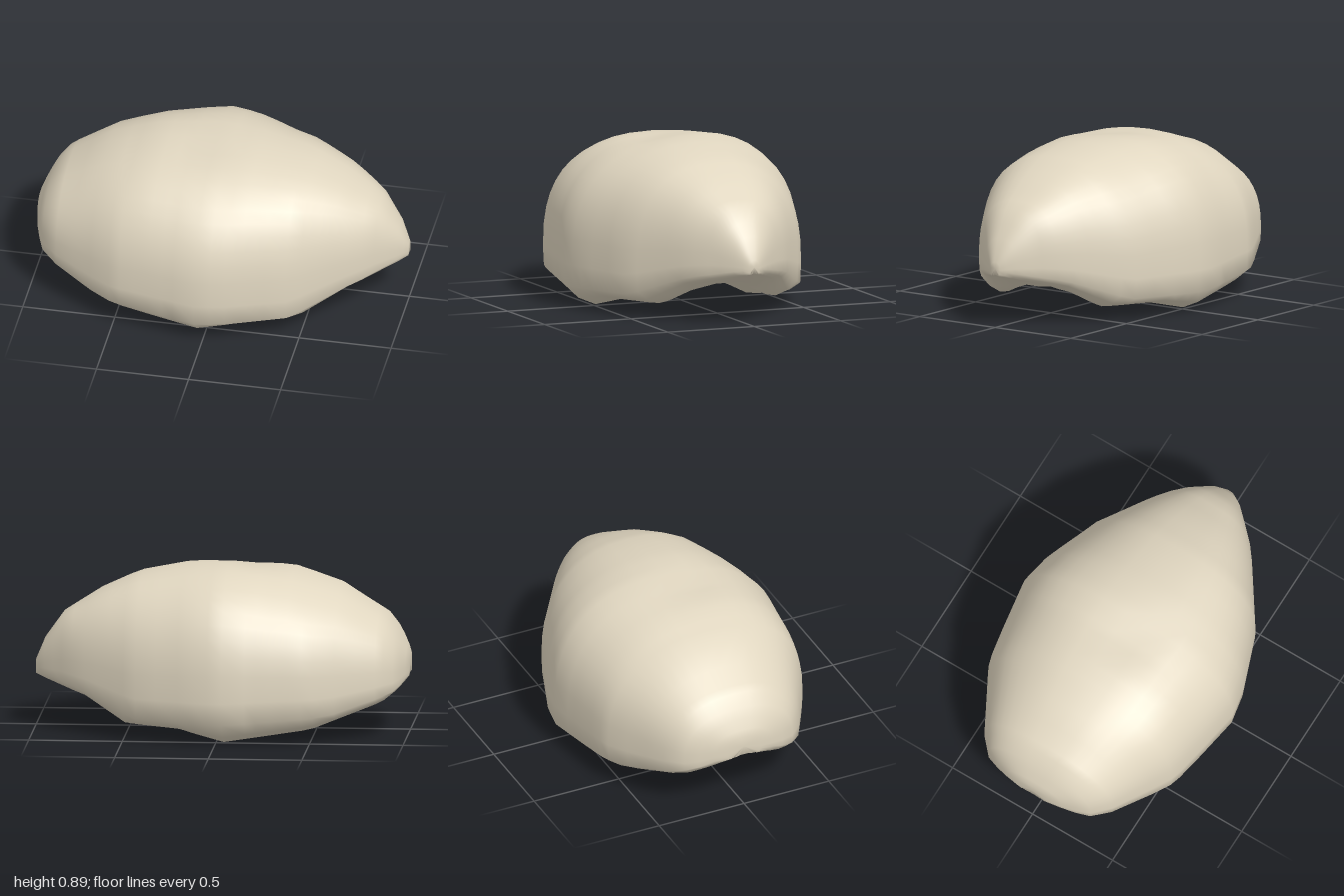
import * as THREE from 'three';
import { mergeVertices } from 'three/addons/utils/BufferGeometryUtils.js';

// Profiles along the length: [x, value]
const HALF_WIDTH = [[-1, 0.1], [-0.98, 0.2], [-0.93, 0.32], [-0.84, 0.4], [-0.5, 0.585], [-0.3, 0.62], [-0.04, 0.66],
  [0.12, 0.63], [0.43, 0.515], [0.77, 0.28], [0.95, 0.1], [1, 0.03]];
const CROWN = [[-1, 0.43], [-0.97, 0.5], [-0.9, 0.62], [-0.63, 0.79], [-0.38, 0.865], [-0.02, 0.905], [0.2, 0.885],
  [0.45, 0.835], [0.65, 0.745], [0.85, 0.62], [0.95, 0.48], [1, 0.36]];
const RIM = [[-1, 0.33], [-0.95, 0.27], [-0.87, 0.24], [-0.6, 0.16], [0, 0.12], [0.45, 0.13], [0.6, 0.19], [0.75, 0.25], [1, 0.31]];
const BASE = [[-1, 0.31], [-0.95, 0.26], [-0.87, 0.2], [-0.5, 0.07], [-0.04, 0.005], [0.2, 0.065], [0.5, 0.08], [0.72, 0.205], [1, 0.285]];
const BELLY = [[-1, 0.32], [-0.9, 0.26], [-0.52, 0.18], [0, 0.13], [0.65, 0.19], [0.9, 0.26], [1, 0.29]];
// Toothed edges of the slot on the two sides
const SLOT_LEFT = [[-0.52, 0], [-0.46, 0.06], [-0.22, 0.11], [-0.16, 0.05], [0.12, 0.11], [0.2, 0.05], [0.5, 0.09], [0.65, 0]];
const SLOT_RIGHT = [[-0.52, 0], [-0.46, 0.09], [-0.22, 0.05], [-0.16, 0.1], [0.12, 0.05], [0.2, 0.1], [0.5, 0.05], [0.65, 0]];

function sample(table, x) {
  if (x <= table[0][0]) return table[0][1];
  for (let i = 1; i < table.length; i++) {
    const [x0, v0] = table[i - 1], [x1, v1] = table[i];
    if (x <= x1) return v0 + (v1 - v0) * (x - x0) / (x1 - x0);
  }
  return table[table.length - 1][1];
}

// Joins equal-length rows of points into a surface
function loft(rows) {
  const cols = rows[0].length, index = [];
  for (let i = 0; i < rows.length - 1; i++) {
    for (let j = 0; j < cols - 1; j++) {
      const a = i * cols + j, b = a + cols;
      index.push(a, b, a + 1, b, b + 1, a + 1);
    }
  }
  const geometry = new THREE.BufferGeometry();
  geometry.setAttribute('position', new THREE.Float32BufferAttribute(rows.flat(2), 3));
  geometry.setIndex(index);
  const merged = mergeVertices(geometry, 1e-4);
  merged.computeVertexNormals();
  return merged;
}

// One closed section: underside lip, rim, domed back, rim, lip
function section(x) {
  const w = sample(HALF_WIDTH, x), top = sample(CROWN, x), rim = sample(RIM, x);
  const base = sample(BASE, x), belly = sample(BELLY, x);
  const under = (side, slot) => {
    const lip = sample(slot, x);
    return [
      [x, belly, side * lip],
      [x, belly, side * Math.max(lip, w * 0.2)],
      [x, belly + (base - belly) * 0.55, side * w * 0.45],
      [x, base + 0.01, side * w * 0.6],
      [x, base, side * w * 0.72],
      [x, base + (rim - base) * 0.35, side * w * 0.87],
      [x, rim, side * w * 0.99],
    ];
  };
  const back = [], steps = 22, spring = rim + (top - rim) * 0.15;
  for (let k = 0; k <= steps; k++) {
    const a = Math.PI * k / steps, c = Math.cos(a), s = Math.max(0, Math.sin(a));
    const z = Math.sign(c) * Math.pow(Math.abs(c), 0.78) * w;
    let y = spring + (top - spring) * Math.pow(s, 0.78);
    // Shallow dent on the crown and soft lumps over the back
    y -= 0.03 * Math.exp(-((x + 0.1) ** 2 + (z - 0.12) ** 2) / 0.02);
    y -= 0.012 * s * (1 - Math.cos(5 * z)) * (1 + Math.sin(7 * x + 3 * z));
    back.push([x, y, z]);
  }
  return [...under(1, SLOT_LEFT), ...back, ...under(-1, SLOT_RIGHT).reverse()];
}

export function createModel() {
  const group = new THREE.Group();
  const shellMaterial = new THREE.MeshStandardMaterial({ color: 0xe0d6c0, side: THREE.DoubleSide });
  const slotMaterial = new THREE.MeshStandardMaterial({ color: 0x8a5a50, side: THREE.DoubleSide, flatShading: true });

  // Shell body, closed at both ends
  const stations = [-1, -0.985, -0.96, -0.93, -0.88, -0.84, -0.74, -0.63, -0.52, -0.46, -0.38, -0.3, -0.22, -0.16, -0.04, 0.04,
    0.12, 0.2, 0.32, 0.43, 0.5, 0.58, 0.65, 0.72, 0.79, 0.85, 0.9, 0.95, 0.98, 1];
  const rows = stations.map(section);
  const cap = (x, y) => rows[0].map(() => [x, y, 0]);
  const shell = new THREE.Mesh(loft([cap(-1, 0.37), ...rows, cap(1, 0.325)]), shellMaterial);
  shell.name = 'shell';
  group.add(shell);

  // Toothed walls and roof inside the slot
  const slotRows = SLOT_LEFT.map(([x, z], i) => {
    const y = sample(BELLY, x), roof = 0.42, r = -SLOT_RIGHT[i][1];
    return [[x, y, z], [x, roof, z], [x, roof, r], [x, y, r]];
  });
  const slot = new THREE.Mesh(loft(slotRows), slotMaterial);
  slot.name = 'slotInterior';
  group.add(slot);

  return group;
}
